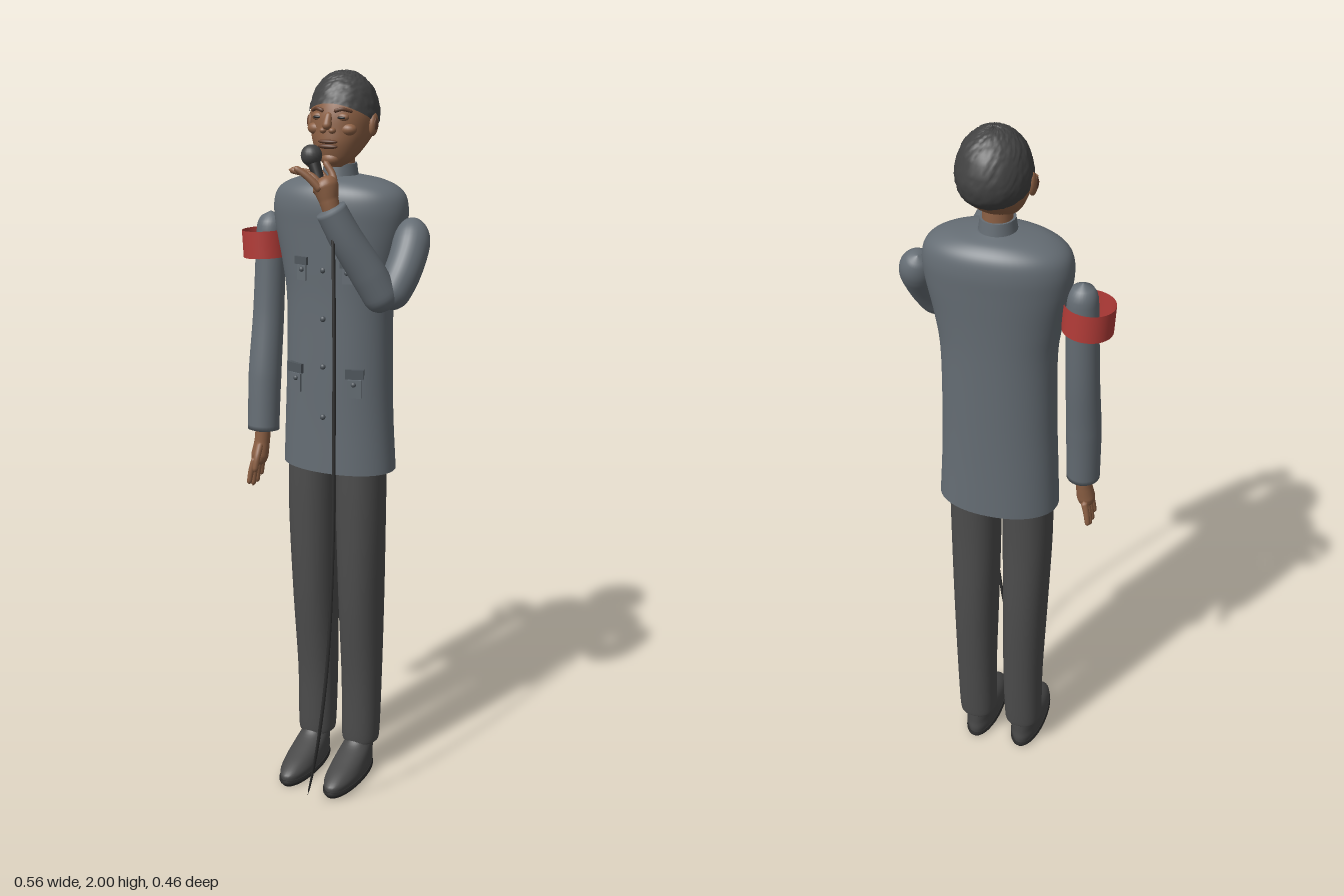
import * as THREE from 'three';
import { mergeVertices } from 'three/addons/utils/BufferGeometryUtils.js';

const V = (a) => new THREE.Vector3(a[0], a[1], a[2]);
const paint = (name, color) => {
  const m = new THREE.MeshStandardMaterial({ color });
  m.name = name;
  return m;
};

// Smooth stack of horizontal rings [x, y, z, rx, rz], listed upwards, with flat end caps
function loft(sections, { rows = 36, segs = 40, exp = 2, start = () => 0, grow = 0, noise = () => 0 } = {}) {
  const spline = (pts) => new THREE.CatmullRomCurve3(pts, false, 'catmullrom', 0.5);
  const centre = spline(sections.map(V));
  const radius = spline(sections.map((s) => new THREE.Vector3(s[3], s[4], 0)));
  const pos = [], idx = [];
  const power = (c) => Math.sign(c) * Math.abs(c) ** (2 / exp);
  for (let i = 0; i <= rows; i++) {
    for (let j = 0; j < segs; j++) {
      const a = (j / segs) * Math.PI * 2;
      const t0 = start(a), t = t0 + (1 - t0) * (i / rows);
      const c = centre.getPoint(t), r = radius.getPoint(t), g = grow + noise();
      pos.push(c.x + power(Math.cos(a)) * (r.x + g), c.y + g * (i / rows), c.z + power(Math.sin(a)) * (r.y + g));
      if (i < rows) {
        const k = (j + 1) % segs, p = i * segs + j, q = i * segs + k;
        idx.push(p, p + segs, q, q, p + segs, q + segs);
      }
    }
  }
  for (const [row, s] of [[0, sections[0]], [rows, sections.at(-1)]]) {
    if (row === 0 && start(0) > 0) continue;
    const base = pos.length / 3;
    pos.push(s[0], s[1], s[2]);
    for (let j = 0; j < segs; j++) {
      const o = (row * segs + j) * 3;
      pos.push(pos[o], pos[o + 1], pos[o + 2]);
      const p = base + 1 + j, q = base + 1 + ((j + 1) % segs);
      row ? idx.push(base, q, p) : idx.push(base, p, q);
    }
  }
  const g = new THREE.BufferGeometry();
  g.setAttribute('position', new THREE.Float32BufferAttribute(pos, 3));
  g.setIndex(idx);
  g.computeVertexNormals();
  return g;
}

// Tube through [x, y, z, radius] points; e0 and e1 are the rounded shares at each end
function limb(points, { rows = 32, segs = 20, e0 = 0.08, e1 = 0.08 } = {}) {
  const path = new THREE.CatmullRomCurve3(points.map(V));
  const g = new THREE.TubeGeometry(path, rows, 1, segs, false);
  const p = g.attributes.position, v = new THREE.Vector3();
  for (let i = 0; i <= rows; i++) {
    const u = i / rows, c = path.getPointAt(u);
    const f = path.getUtoTmapping(u) * (points.length - 1);
    const k = Math.min(Math.floor(f), points.length - 2);
    let r = THREE.MathUtils.lerp(points[k][3], points[k + 1][3], f - k);
    if (u < e0) r *= Math.sqrt(1 - (1 - u / e0) ** 2);
    if (1 - u < e1) r *= Math.sqrt(Math.max(0, 1 - (1 - (1 - u) / e1) ** 2));
    for (let j = 0; j <= segs; j++) {
      const n = i * (segs + 1) + j;
      v.fromBufferAttribute(p, n).sub(c).multiplyScalar(Math.max(r, 1e-5)).add(c);
      p.setXYZ(n, v.x, v.y, v.z);
    }
  }
  g.deleteAttribute('uv');
  g.deleteAttribute('normal');
  const merged = mergeVertices(g, 1e-6);
  merged.computeVertexNormals();
  return merged;
}

export function createModel() {
  const model = new THREE.Group();
  const coat = paint('coat grey', 0x656d74), trouser = paint('trouser charcoal', 0x4c4c4c);
  const skin = paint('skin brown', 0x8c6044), lip = paint('dark skin', 0x64412f);
  const hairMat = paint('hair black', 0x424242), red = paint('armband red', 0xb33c38);
  const shoeMat = paint('shoe grey', 0x484848), black = paint('black', 0x2c2c2c);
  const trim = paint('pocket grey', 0x50575d);
  red.side = THREE.DoubleSide;
  const add = (name, geo, mat, at) => {
    const m = new THREE.Mesh(geo, mat);
    m.name = name;
    if (at) m.position.set(...at);
    model.add(m);
    return m;
  };
  const blob = (name, mat, at, size) => {
    const m = add(name, new THREE.SphereGeometry(1, 20, 14), mat, at);
    m.scale.set(...size);
    return m;
  };
  const CX = 0.013;

  // Long coat and standing collar
  add('coat', loft([
    [0.015, 0.94, -0.103, 0.163, 0.104], [0.013, 1.08, -0.103, 0.156, 0.102],
    [CX, 1.22, -0.103, 0.151, 0.102], [CX, 1.4, -0.104, 0.15, 0.103], [CX, 1.5, -0.104, 0.163, 0.106],
    [CX, 1.6, -0.105, 0.184, 0.11], [CX, 1.66, -0.105, 0.188, 0.112], [CX, 1.7, -0.105, 0.172, 0.104],
    [CX, 1.725, -0.104, 0.125, 0.082], [CX, 1.738, -0.102, 0.05, 0.05],
  ], { rows: 54, segs: 56, exp: 2.15 }), coat);
  add('collar', loft([
    [CX, 1.715, -0.102, 0.052, 0.054], [CX, 1.74, -0.102, 0.047, 0.05], [CX, 1.768, -0.102, 0.043, 0.046],
  ], { rows: 8 }), coat);
  add('neck', new THREE.CylinderGeometry(0.036, 0.038, 0.11, 24), skin, [CX, 1.78, -0.105]);

  // Buttons down the front
  for (const y of [1.64, 1.5, 1.37, 1.24, 1.1]) blob('button', trim, [CX, y, 0.0], [0.008, 0.008, 0.007]);

  // Flapped pockets
  for (const [x, y, s, turn] of [[-0.05, 1.5, 0.8, -0.2], [0.082, 1.5, 0.8, 0.2], [-0.073, 1.2, 1, -0.3], [0.1, 1.2, 1, 0.3]]) {
    const z = -0.104 + 0.104 * Math.sqrt(1 - ((x - CX) / 0.155) ** 2);
    const body = add('pocket', new THREE.BoxGeometry(0.036 * s, 0.05 * s, 0.014), coat, [x, y - 0.015 * s, z + 0.001]);
    const flap = add('pocketFlap', new THREE.BoxGeometry(0.05 * s, 0.026 * s, 0.02), trim, [x, y + 0.026 * s, z + 0.002]);
    const stud = blob('pocketButton', trim, [x, y - 0.002, z + 0.01], [0.007, 0.007, 0.006]);
    for (const part of [body, flap, stud]) part.rotation.y = turn;
  }

  // Trouser legs, shoes and soles
  for (const [top, low] of [[-0.062, -0.053], [0.086, 0.089]]) {
    add('trouserLeg', loft([
      [low, 0.1, -0.102, 0.046, 0.046], [low, 0.115, -0.102, 0.054, 0.053], [low, 0.3, -0.105, 0.057, 0.06],
      [(top + low) / 2, 0.55, -0.1, 0.062, 0.074], [top, 0.8, -0.095, 0.067, 0.075], [top, 0.98, -0.095, 0.067, 0.075],
    ], { exp: 2.2 }), trouser);
    add('shoe', loft([
      [low, 0.016, -0.02, 0.044, 0.127], [low, 0.035, -0.022, 0.048, 0.127], [low, 0.055, -0.038, 0.046, 0.108],
      [low, 0.075, -0.065, 0.043, 0.08], [low, 0.095, -0.09, 0.038, 0.054], [low, 0.115, -0.1, 0.033, 0.04],
    ], { rows: 20, exp: 2.1 }), shoeMat);
    add('sole', loft([
      [low, 0, -0.02, 0.042, 0.124], [low, 0.01, -0.02, 0.05, 0.131], [low, 0.02, -0.02, 0.047, 0.129],
    ], { rows: 6, exp: 2.1 }), black);
  }

  // Hanging right arm with its armband
  add('rightSleeve', limb([
    [-0.2, 1.628, -0.11, 0.036], [-0.2, 1.54, -0.107, 0.041], [-0.203, 1.35, -0.096, 0.043],
    [-0.205, 1.18, -0.075, 0.046], [-0.204, 1.008, -0.06, 0.044],
  ], { rows: 48, segs: 28, e0: 0.07, e1: 0.012 }), coat);
  const band = add('armband', new THREE.CylinderGeometry(0.064, 0.064, 0.074, 36, 1, true), red, [-0.217, 1.54, -0.111]);
  band.rotation.z = 0.06;

  // Raised left arm
  add('leftUpperSleeve', limb([
    [0.217, 1.635, -0.112, 0.04], [0.23, 1.575, -0.075, 0.049], [0.225, 1.5, -0.025, 0.048], [0.198, 1.42, 0.02, 0.044],
  ], { segs: 28, e0: 0.22, e1: 0.2 }), coat);
  add('leftForeSleeve', limb([
    [0.208, 1.415, 0.012, 0.046], [0.165, 1.51, 0.045, 0.047], [0.12, 1.6, 0.08, 0.043], [0.082, 1.685, 0.105, 0.039],
  ], { segs: 28, e0: 0.15, e1: 0.025 }), coat);

  // Hands: palm, wrist, four fingers and a thumb
  const finger = (pts, r) => add('finger', limb(pts.map((p, i) => [...p, r * (1 - 0.13 * i)]), { rows: 14, segs: 10, e0: 0.1, e1: 0.12 }), skin);
  add('rightPalm', limb([
    [-0.204, 1.03, -0.06, 0.022], [-0.207, 0.985, -0.057, 0.022], [-0.212, 0.945, -0.052, 0.025], [-0.216, 0.915, -0.05, 0.018],
  ], { e1: 0.15 }), skin).name = 'rightHand';
  [-0.076, -0.058, -0.041, -0.025].forEach((z, i) => {
    const spread = (i - 1.5) * 0.007, len = [0.8, 0.97, 1, 0.88][i];
    finger([[-0.212, 0.945, z], [-0.222, 0.945 - 0.045 * len, z + spread * 0.6], [-0.228, 0.945 - 0.092 * len, z + spread]], 0.0095);
  });
  finger([[-0.206, 0.985, -0.045], [-0.202, 0.95, -0.018], [-0.205, 0.905, -0.008]], 0.011);
  add('leftHand', limb([
    [0.092, 1.66, 0.1, 0.022], [0.08, 1.7, 0.102, 0.025], [0.07, 1.73, 0.1, 0.034], [0.055, 1.752, 0.098, 0.026],
  ], { e1: 0.2 }), skin);
  for (const [z0, z1, x, y] of [[0.072, 0.054, -0.008, 1.785], [0.09, 0.1, -0.03, 1.768], [0.108, 0.125, -0.02, 1.772], [0.124, 0.148, 0.006, 1.782]]) {
    finger([[0.072, 1.722, z0], [0.04, 1.757, (z0 + z1) / 2], [x, y, z1]], 0.0105);
  }
  finger([[0.085, 1.71, 0.08], [0.07, 1.755, 0.06], [0.045, 1.79, 0.058]], 0.011);

  // Microphone and its trailing cable
  blob('microphoneHead', hairMat, [0.026, 1.805, 0.09], [0.027, 0.027, 0.027]);
  add('microphoneHandle', limb([[0.03, 1.795, 0.09, 0.017], [0.06, 1.725, 0.1, 0.012], [0.098, 1.63, 0.115, 0.008]], { e0: 0.03, e1: 0.03 }), black);
  add('cable', limb([
    [0.098, 1.64, 0.114, 0.005], [0.12, 1.4, 0.15, 0.005], [0.133, 1.1, 0.175, 0.005], [0.143, 0.8, 0.2, 0.005],
    [0.14, 0.5, 0.222, 0.005], [0.118, 0.28, 0.226, 0.005], [0.085, 0.14, 0.2, 0.004], [0.055, 0.04, 0.175, 0.002],
  ], { rows: 60, segs: 8, e0: 0.01, e1: 0.01 }), black);

  // Head, with a cropped hair shell over the same profile
  const skull = [
    [CX, 1.762, -0.07, 0.024, 0.026], [CX, 1.785, -0.082, 0.05, 0.05], [CX, 1.82, -0.103, 0.07, 0.08],
    [CX, 1.855, -0.12, 0.083, 0.095], [CX, 1.9, -0.126, 0.087, 0.095], [CX, 1.95, -0.126, 0.073, 0.077],
    [CX, 1.98, -0.125, 0.048, 0.05], [CX, 1.994, -0.124, 0.023, 0.024], [CX, 1.997, -0.123, 0.001, 0.001],
  ];
  add('head', loft(skull, { rows: 40, segs: 44 }), skin);
  let seed = 7;
  const rnd = () => (seed = (seed * 16807) % 2147483647) / 2147483647;
  add('hair', loft(skull, {
    rows: 30, segs: 72, grow: 0.002, noise: () => rnd() * 0.003, start: (a) => 0.42 + 0.135 * Math.sin(a),
  }), hairMat);

  // Nose, lips and chin
  add('nose', limb([[CX, 1.9, -0.036, 0.009], [CX, 1.88, -0.026, 0.011], [CX, 1.858, -0.019, 0.014]], { e0: 0.2, e1: 0.3 }), skin);
  for (const [y, h] of [[1.828, 0.006], [1.816, 0.007]]) blob('lip', lip, [CX, y, -0.027], [0.028, h, 0.011]);
  blob('chin', skin, [CX, 1.783, -0.045], [0.026, 0.018, 0.02]);

  // Paired features: eyes, brows, nostrils, cheeks and ears
  for (const s of [-1, 1]) {
    blob('eyelid', skin, [CX + s * 0.034, 1.889, -0.043], [0.018, 0.011, 0.011]);
    blob('eye', black, [CX + s * 0.034, 1.888, -0.036], [0.012, 0.004, 0.006]);
    add('brow', limb([
      [CX + s * 0.014, 1.903, -0.032, 0.005], [CX + s * 0.035, 1.909, -0.037, 0.005], [CX + s * 0.058, 1.902, -0.054, 0.004],
    ], { rows: 14, segs: 10 }), lip);
    blob('nostril', skin, [CX + s * 0.013, 1.856, -0.027], [0.01, 0.008, 0.011]);
    blob('cheek', skin, [CX + s * 0.045, 1.858, -0.052], [0.024, 0.016, 0.018]);
    blob('ear', skin, [CX + s * 0.088, 1.868, -0.115], [0.011, 0.03, 0.018]).rotation.x = -0.15;
    blob('earHollow', lip, [CX + s * 0.097, 1.87, -0.111], [0.004, 0.016, 0.009]);
  }
  return model;
}
